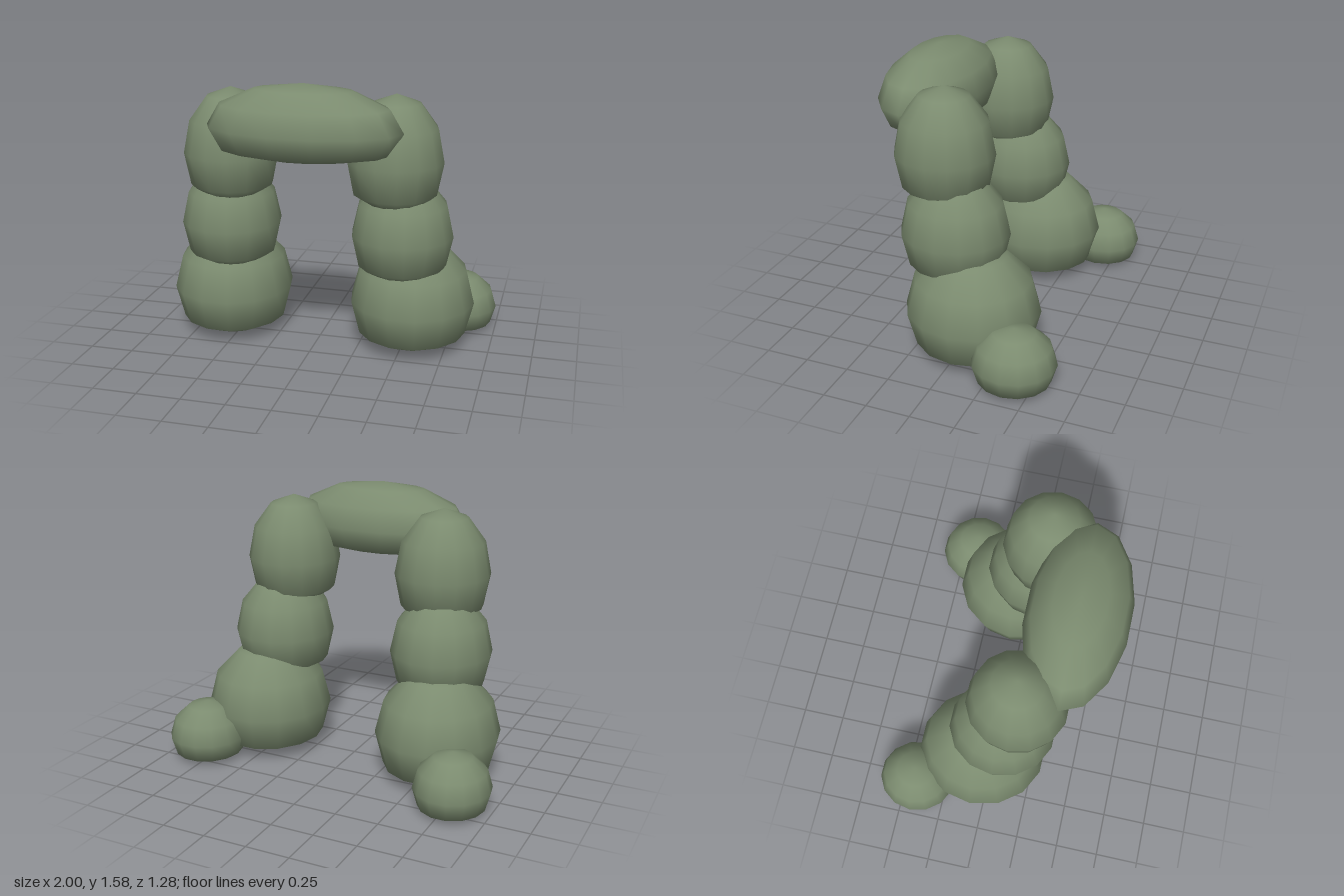
import * as THREE from 'three';
import { mergeVertices } from 'three/addons/utils/BufferGeometryUtils.js';

const stone = new THREE.MeshStandardMaterial({ color: 0x7b8b6f });
stone.name = 'mossy stone';

// Low-poly boulder: a squashed sphere whose underside is cut flat
function boulder(name, [x, y, z], [rx, ry, rz], cut = 0.67) {
  let geo = new THREE.SphereGeometry(1, 14, 6);
  geo.deleteAttribute('uv');
  geo.deleteAttribute('normal');
  const pos = geo.attributes.position;
  for (let i = 0; i < pos.count; i++) pos.setY(i, Math.max(pos.getY(i), -cut));
  geo.scale(rx, ry, rz);
  geo = mergeVertices(geo, 1e-4);
  geo.computeVertexNormals();
  const mesh = new THREE.Mesh(geo, stone);
  mesh.name = name;
  mesh.position.set(x, y, z);
  return mesh;
}

// Pillar of three stacked boulders with a small one at the outer back of its foot
function pillar(name, stones) {
  const group = new THREE.Group();
  group.name = name;
  for (const [part, centre, radii, cut] of stones) group.add(boulder(part, centre, radii, cut));
  return group;
}

export function createModel() {
  const model = new THREE.Group();
  model.name = 'stoneArch';

  model.add(pillar('rightPillar', [
    ['baseStone', [-0.555, 0.27, -0.06], [0.353, 0.38, 0.38]],
    ['middleStone', [-0.517, 0.71, 0.06], [0.288, 0.355, 0.305]],
    ['upperStone', [-0.485, 1.14, 0.137], [0.27, 0.37, 0.28]],
    ['footStone', [-0.785, 0.13, -0.42], [0.215, 0.205, 0.228], 0.634],
  ]));

  model.add(pillar('leftPillar', [
    ['baseStone', [0.54, 0.27, -0.06], [0.362, 0.38, 0.38]],
    ['middleStone', [0.495, 0.7, 0.06], [0.29, 0.355, 0.305]],
    ['upperStone', [0.46, 1.14, 0.13], [0.27, 0.37, 0.278]],
    ['footStone', [0.775, 0.135, -0.39], [0.225, 0.205, 0.235], 0.634],
  ]));

  // Long stone lying across the front of both pillars
  model.add(boulder('lintelStone', [0, 1.34, 0.36], [0.545, 0.245, 0.286], 0.64));
  return model;
}
